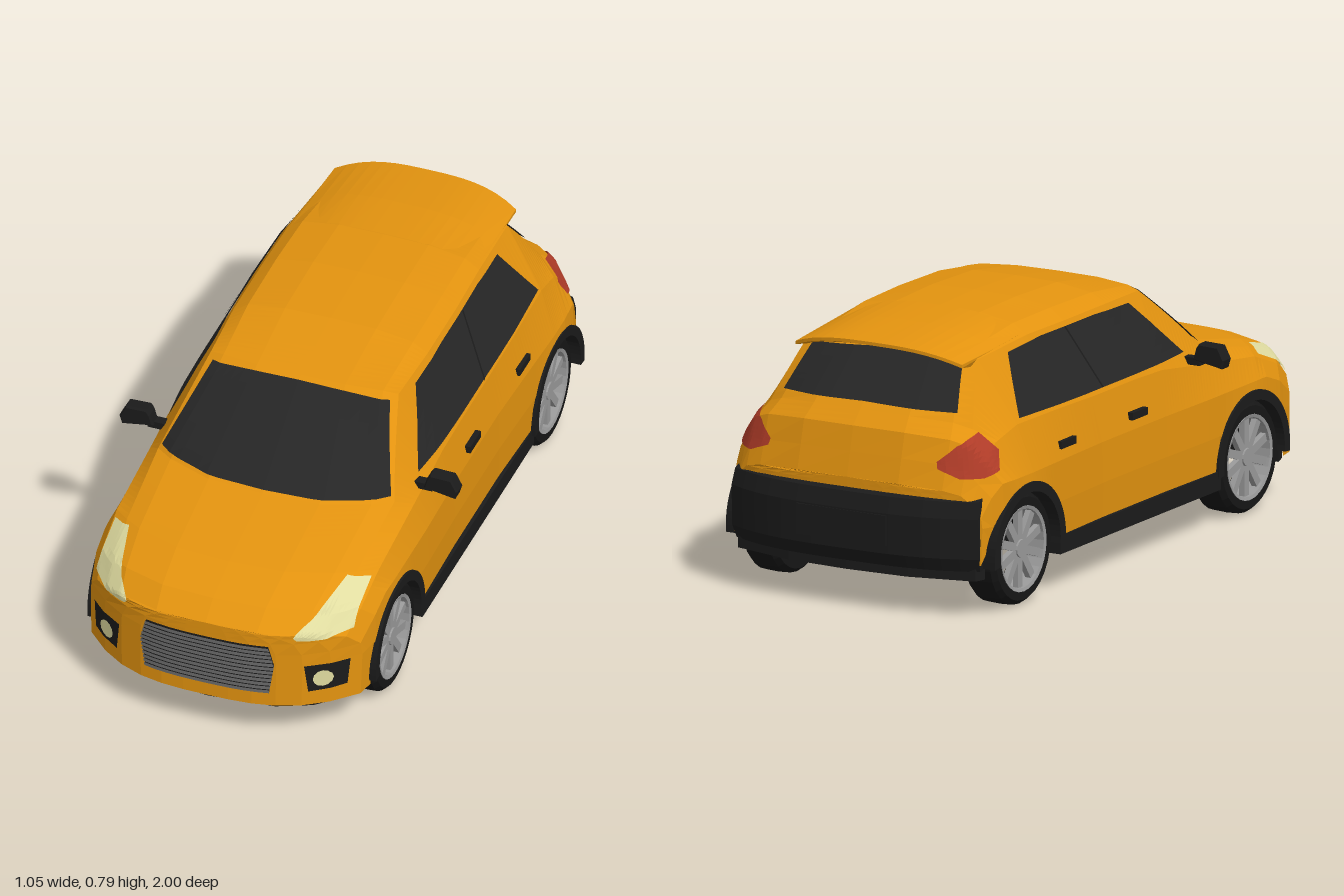
import * as THREE from 'three';

const mat = (name, color) => new THREE.MeshStandardMaterial({ name, color, flatShading: true, side: THREE.DoubleSide });
const paint = mat('orange paint', 0xe3930f), glass = mat('dark glass', 0x262626), trim = mat('black trim', 0x1b1b1b),
  rubber = mat('tyre rubber', 0x161616), alloy = mat('alloy', 0x9a9a9a), grilleGrey = mat('grille grey', 0x6c6c6c),
  lampCream = mat('headlamp cream', 0xe0dca0), lampRed = mat('tail lamp red', 0xb03c28);

// Surface through a grid of points; caps closes the first and last columns
function gridGeo(pts, caps = false) {
  const n = pts[0].length, m = pts.length, idx = [];
  for (let i = 0; i < m - 1; i++) for (let j = 0; j < n - 1; j++) {
    const a = i * n + j, b = a + 1, c = a + n, d = c + 1;
    idx.push(a, c, b, b, c, d);
  }
  if (caps) for (let i = 1; i < m - 1; i++) {
    idx.push(0, (i + 1) * n, i * n);
    idx.push(n - 1, (i + 1) * n - 1, (i + 2) * n - 1);
  }
  const g = new THREE.BufferGeometry().setFromPoints(pts.flat());
  g.setIndex(idx);
  g.computeVertexNormals();
  return g;
}
const V = (x, y, z) => new THREE.Vector3(x, y, z);
const lerp = THREE.MathUtils.lerp;
const bend = (x, bow) => bow * Math.pow(Math.abs(x) / 0.42, 3);

// Body stations: z, bow, side x, belt x, belt y, rail x, rail y, top y
const stations = [
  [0.99, 0.17, 0.42, 0.385, 0.35, 0.33, 0.368, 0.388],
  [0.93, 0.17, 0.435, 0.4, 0.4, 0.34, 0.42, 0.435],
  [0.8, 0.17, 0.44, 0.405, 0.45, 0.355, 0.463, 0.477],
  [0.53, 0.17, 0.44, 0.405, 0.485, 0.365, 0.522, 0.532],
  [0.22, 0.1, 0.435, 0.405, 0.52, 0.29, 0.73, 0.745],
  [-0.02, 0, 0.435, 0.405, 0.525, 0.3, 0.735, 0.783],
  [-0.25, 0, 0.435, 0.405, 0.525, 0.3, 0.735, 0.79],
  [-0.45, 0, 0.442, 0.405, 0.53, 0.295, 0.735, 0.785],
  [-0.72, -0.05, 0.45, 0.4, 0.53, 0.285, 0.715, 0.74],
  [-0.89, -0.12, 0.45, 0.395, 0.5, 0.34, 0.54, 0.57],
  [-0.93, -0.09, 0.445, 0.4, 0.45, 0.36, 0.5, 0.53],
  [-0.965, -0.06, 0.42, 0.39, 0.34, 0.36, 0.365, 0.385],
];
const axles = [0.58, -0.69], axleY = 0.167, archR = 0.185;

// Lower edge of the flank, rising over the wheels
function edgeY(z) {
  let y = z > 0.6 ? 0.13 : 0.16;
  for (const a of axles) {
    const d = Math.abs(z - a);
    if (d < archR) y = Math.max(y, axleY + Math.sqrt(archR * archR - d * d));
  }
  return y;
}
// Half section from sill to roof centre
function section([z, bow, sx, bx, by, rx, ry, top]) {
  const y0 = edgeY(z - bend(sx, bow)), h = top - ry;
  return [[sx - 0.004, y0], [sx, Math.max(0.27, y0 + 0.005)], [sx - 0.004, Math.min(0.39, by - 0.04)], [bx, by],
    [rx, ry], [rx * 0.85, ry + h * 0.6], [rx * 0.47, ry + h * 0.95], [0, top]]
    .map(([x, y]) => V(x, y, z - bend(x, bow)));
}
function bodyGeo() {
  const rows = [];
  stations.forEach((s, k) => {
    const e = stations[k + 1];
    if (!e) return rows.push(section(s));
    const n = Math.ceil((s[0] - e[0]) / 0.02);
    for (let i = 0; i < n; i++) rows.push(section(s.map((v, q) => lerp(v, e[q], i / n))));
  });
  return gridGeo(rows.map(r => [...r, ...r.slice(0, 7).reverse().map(p => V(-p.x, p.y, p.z))]));
}
// Nose and tail panels
function endGeo(s, dir) {
  return gridGeo(section(s).reverse().map(p => {
    const row = [];
    for (let j = -6; j <= 6; j++) {
      const x = p.x * j / 6 * dir;
      row.push(V(x, p.y, s[0] - bend(x, s[1])));
    }
    return row;
  }));
}
// Bowed bar across the car; rows: z, y, half width, bow, side drop
function barGeo(rows) {
  return gridGeo(rows.map(([z, y, hw, bow, drop]) => {
    const r = [];
    for (let j = 8; j >= -8; j--) {
      const x = hw * j / 8;
      r.push(V(x, y - drop * Math.pow(Math.abs(j / 8), 3), z - bend(x, bow)));
    }
    return r;
  }), true);
}
const half = (pts, f) => [...pts.map(([x, z]) => f(x, z)), ...pts.slice(1, -1).reverse().map(([x, z]) => f(-x, z))];

export function createModel() {
  const car = new THREE.Group();
  car.name = 'hatchback';
  const add = (name, geo, m, parent = car) => {
    const mesh = new THREE.Mesh(geo, m);
    mesh.name = name;
    parent.add(mesh);
    return mesh;
  };
  const box = (name, m, w, h, d, x, y, z, parent) => add(name, new THREE.BoxGeometry(w, h, d).translate(x, y, z), m, parent);

  const shell = [add('bodyShell', bodyGeo(), paint), add('nosePanel', endGeo(stations[0], 1), paint),
    add('tailPanel', endGeo(stations[stations.length - 1], -1), paint)];
  const ray = new THREE.Raycaster();

  // Thin plate laid on the shell, seen from direction out, between an upper and a lower line
  function plate(name, m, out, upper, lower, off = 0.005, mirror = false, rows = 8, sub = 5) {
    const o = V(...out).normalize(), r = o.clone().cross(V(0, -1, 0)), pts = [];
    let last = V(0, 0, 0);
    const n = (upper.length - 1) * sub;
    const at = (line, j) => {
      const k = Math.min(Math.floor(j / sub), line.length - 2), t = j / sub - k;
      return [0, 1].map(q => lerp(line[k][q], line[k + 1][q], t));
    };
    for (let i = 0; i <= rows; i++) {
      const row = [];
      for (let j = 0; j <= n; j++) {
        const a = at(upper, j), b = at(lower, j);
        const origin = r.clone().multiplyScalar(lerp(a[0], b[0], i / rows)).addScaledVector(o, 3);
        origin.y += lerp(a[1], b[1], i / rows);
        ray.set(origin, o.clone().negate());
        const hit = ray.intersectObjects(shell, false)[0];
        if (hit) {
          const nm = hit.face.normal.clone();
          if (nm.dot(o) < 0) nm.negate();
          last = hit.point.clone().addScaledVector(nm, off);
        }
        row.push(last.clone());
      }
      pts.push(row);
    }
    add(name, gridGeo(pts), m);
    if (mirror) add(name, gridGeo(pts.map(w => w.map(p => V(-p.x, p.y, p.z)).reverse())), m);
  }
  const FRONT = [0, 0, 1], REAR = [0, 0, -1], LEFT = [1, 0, 0];

  // Glass
  plate('windshield', glass, FRONT, [[-0.272, 0.72], [-0.14, 0.732], [0, 0.735], [0.14, 0.732], [0.272, 0.72]],
    [[-0.352, 0.535], [-0.18, 0.537], [0, 0.538], [0.18, 0.537], [0.352, 0.535]]);
  plate('rearWindow', glass, REAR, [[-0.25, 0.705], [0, 0.722], [0.25, 0.705]], [[-0.29, 0.58], [0, 0.588], [0.29, 0.58]]);
  plate('sideWindow', glass, LEFT, [[-0.1, 0.712], [0.1, 0.72], [0.4, 0.72], [0.57, 0.708]],
    [[-0.28, 0.537], [0, 0.537], [0.3, 0.537], [0.66, 0.542]], 0.005, true);
  plate('windowDivider', trim, LEFT, [[0.262, 0.72], [0.27, 0.72]], [[0.2, 0.537], [0.208, 0.537]], 0.008, true);

  // Lamps
  plate('headlamp', lampCream, FRONT, [[0.255, 0.375], [0.29, 0.408], [0.335, 0.462], [0.393, 0.445]],
    [[0.263, 0.365], [0.3, 0.361], [0.34, 0.361], [0.393, 0.365]], 0.006, true);
  plate('tailLamp', lampRed, [1, 0, -1], [[0.275, 0.48], [0.33, 0.53], [0.4, 0.5], [0.455, 0.455]],
    [[0.28, 0.425], [0.33, 0.41], [0.4, 0.41], [0.455, 0.435]], 0.006, true);
  plate('fogLampSurround', trim, FRONT, [[0.283, 0.272], [0.392, 0.27]], [[0.293, 0.18], [0.385, 0.184]], 0.005, true);
  const arc = s => Array.from({ length: 7 }, (_, i) => {
    const a = Math.PI * (1 - i / 6);
    return [0.328 + 0.025 * Math.cos(a), 0.226 + s * 0.028 * Math.sin(a)];
  });
  plate('fogLamp', lampCream, FRONT, arc(1), arc(-1), 0.011, true, 4, 2);

  // Grille with slats
  const grilleHalf = y => y > 0.275 ? lerp(0.205, 0.188, (y - 0.275) / 0.067) : lerp(0.19, 0.205, (y - 0.177) / 0.098);
  const span = y => [[-grilleHalf(y), y], [0, y], [grilleHalf(y), y]];
  plate('grilleBackUpper', trim, FRONT, span(0.342), span(0.276), 0.004);
  plate('grilleBackLower', trim, FRONT, span(0.276), span(0.177), 0.004);
  for (let i = 0; i < 12; i++) {
    const y = 0.179 + i * 0.0136;
    plate('grilleSlat', grilleGrey, FRONT, span(y + 0.0105), span(y), 0.009, false, 1);
  }

  // Roof spoiler and rear bumper
  add('roofSpoiler', barGeo([[-0.45, 0.787, 0.285, 0, 0.045], [-0.62, 0.777, 0.285, -0.04, 0.05],
    [-0.825, 0.755, 0.28, -0.13, 0.04], [-0.825, 0.745, 0.28, -0.13, 0.04], [-0.7, 0.71, 0.27, -0.05, 0.02]]), paint);
  add('rearBumper', barGeo([[-0.94, 0.365, 0.41, -0.08, 0], [-0.983, 0.348, 0.41, -0.08, 0], [-0.998, 0.3, 0.415, -0.08, 0],
    [-0.995, 0.18, 0.415, -0.08, 0], [-0.975, 0.14, 0.41, -0.08, 0], [-0.88, 0.14, 0.4, -0.08, 0]]), trim);
  box('plateRecess', trim, 0.3, 0.09, 0.008, 0, 0.25, -0.996);

  // Underside with sills and wheel notches
  const outline = [[0, 0.97], [0.2, 0.95], [0.3, 0.905], [0.4, 0.81], [0.415, 0.765], [0.25, 0.765], [0.25, 0.395], [0.443, 0.395],
    [0.443, -0.505], [0.25, -0.505], [0.25, -0.875], [0.41, -0.875], [0.4, -0.91], [0.2, -0.96], [0, -0.97]];
  const floor = new THREE.Shape(half(outline, (x, z) => new THREE.Vector2(x, -z)));
  add('underside', new THREE.ExtrudeGeometry(floor, { depth: 0.055, bevelEnabled: false })
    .rotateX(-Math.PI / 2).translate(0, 0.112, 0), trim);

  // Wheels, wells and arch trims
  const ring = new THREE.Shape();
  ring.absarc(0, 0, 0.2, -0.1, Math.PI + 0.1, false);
  ring.absarc(0, 0, 0.17, Math.PI + 0.1, -0.1, true);
  const lathe = pts => new THREE.LatheGeometry(pts.map(p => new THREE.Vector2(...p)), 28).rotateZ(-Math.PI / 2);
  for (const z of axles) for (const s of [1, -1]) {
    const corner = new THREE.Group();
    corner.name = (z > 0 ? 'front' : 'rear') + (s > 0 ? 'Left' : 'Right') + 'Corner';
    corner.position.set(0, axleY, z);
    corner.rotation.y = s > 0 ? 0 : Math.PI;
    car.add(corner);
    const out = z > 0 ? 0.446 : 0.453;
    add('archTrim', new THREE.ExtrudeGeometry(ring, { depth: 0.04, bevelEnabled: false, curveSegments: 16 })
      .rotateY(Math.PI / 2).translate(out - 0.04, 0, 0), trim, corner);
    add('wheelWell', new THREE.CylinderGeometry(0.185, 0.185, 0.18, 20, 1, true, Math.PI, Math.PI)
      .rotateZ(-Math.PI / 2).translate(0.34, 0, 0), trim, corner);
    add('wellWall', new THREE.CircleGeometry(0.185, 20, 0, Math.PI).rotateY(Math.PI / 2).translate(0.25, 0, 0), trim, corner);
    const wheel = new THREE.Group();
    wheel.name = 'wheel';
    wheel.position.x = 0.374;
    corner.add(wheel);
    add('tyre', lathe([[0.124, -0.055], [0.152, -0.055], [0.165, -0.04], [0.167, 0], [0.165, 0.04], [0.152, 0.055], [0.124, 0.055], [0.124, -0.055]]), rubber, wheel);
    add('rim', lathe([[0.127, 0.05], [0.127, 0.057], [0.117, 0.054], [0.115, -0.04]]), alloy, wheel);
    add('hub', new THREE.CylinderGeometry(0.026, 0.032, 0.03, 14).rotateZ(-Math.PI / 2).translate(0.035, 0, 0), alloy, wheel);
    for (let i = 0; i < 10; i++)
      box('spoke', alloy, 0.018, 0.098, 0.025, 0.036, 0.07, 0, wheel).rotation.x = i * Math.PI / 5;
  }

  // Mirrors and door handles
  const mirror = [[0.418, 0.52], [0.515, 0.503], [0.523, 0.53], [0.503, 0.568], [0.438, 0.57], [0.428, 0.555]];
  for (const s of [1, -1]) {
    const head = new THREE.Shape(mirror.map(([x, y]) => new THREE.Vector2(s * x, y)));
    add('mirrorHead', new THREE.ExtrudeGeometry(head, { depth: 0.035, bevelThickness: 0.006, bevelSize: 0.004, bevelOffset: -0.004, bevelSegments: 1 })
      .translate(0, 0, 0.283), trim);
    box('mirrorArm', trim, 0.07, 0.022, 0.03, s * 0.405, 0.515, 0.295);
    for (const z of [-0.048, -0.448]) box('doorHandle', trim, 0.02, 0.022, 0.085, s * 0.428, 0.432, z);
  }
  return car;
}
